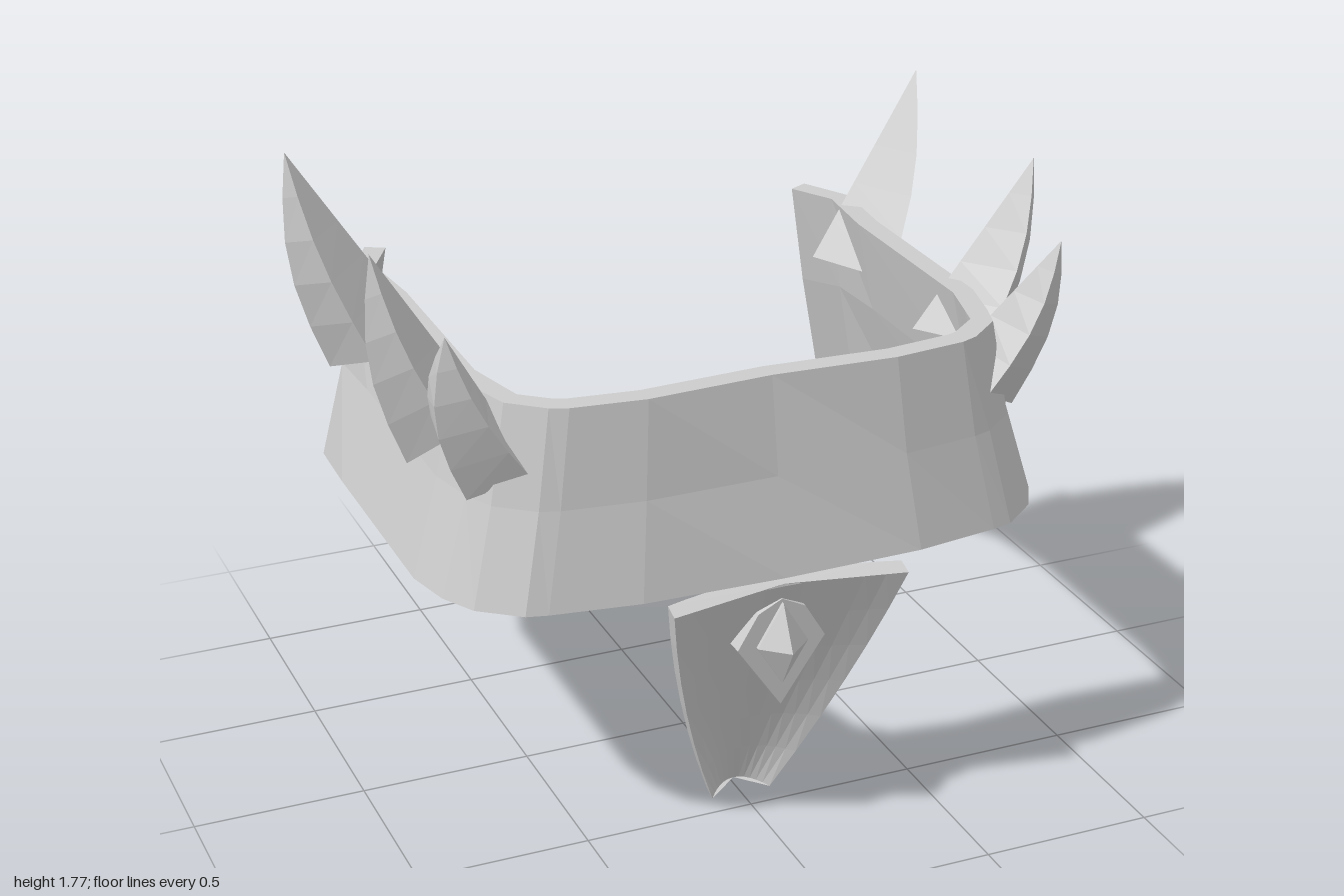
import * as THREE from 'three';

// Flat-shaded closed solid skinned over a list of equal-length point rings.
function loft(rings) {
  const n = rings[0].length, tris = [];
  for (let i = 0; i < rings.length - 1; i++) {
    for (let j = 0; j < n; j++) {
      const k = (j + 1) % n;
      const a = rings[i][j], b = rings[i][k], c = rings[i + 1][k], d = rings[i + 1][j];
      tris.push([a, b, c], [a, c, d]);
    }
  }
  for (const end of [0, rings.length - 1]) {
    const r = rings[end];
    const mid = [0, 1, 2].map((q) => r.reduce((s, p) => s + p[q], 0) / n);
    for (let j = 0; j < n; j++) {
      const k = (j + 1) % n;
      tris.push(end ? [mid, r[j], r[k]] : [mid, r[k], r[j]]);
    }
  }
  // Turn all faces outward using the signed volume
  const [A, B, C] = [0, 0, 0].map(() => new THREE.Vector3());
  let volume = 0;
  for (const [a, b, c] of tris) volume += A.fromArray(a).dot(B.fromArray(b).cross(C.fromArray(c)));
  const out = volume < 0 ? tris.map(([a, b, c]) => [a, c, b]) : tris;
  const g = new THREE.BufferGeometry();
  g.setAttribute('position', new THREE.Float32BufferAttribute(out.flat(2), 3));
  g.computeVertexNormals();
  return g;
}

const mix = (a, b, t) => a + (b - a) * t;

// U-shaped band, flaring from its top edge to its bottom edge
function bandGeometry() {
  // outer [top x, top z, bottom x, bottom z, bottom y], from front centre to back end
  const half = [
    [0, 0.605, 0, 0.715, 0.84], [0.36, 0.625, 0.41, 0.705, 0.84],
    [0.57, 0.6, 0.66, 0.66, 0.835], [0.62, 0.58, 0.72, 0.645, 0.835],
    [0.715, 0.5, 0.83, 0.55, 0.83], [0.74, 0.42, 0.885, 0.45, 0.83],
    [0.775, 0.27, 0.915, 0.3, 0.825], [0.77, -0.33, 0.915, -0.36, 0.825],
    [0.79, -0.57, 0.895, -0.62, 0.8], [0.71, -0.72, 0.83, -0.765, 0.78],
  ];
  const left = half.slice(1).reverse().map(([a, b, c, d, e]) => [-a, b, -c, d, e]);
  const path = [...left, ...half];
  const plan = (s, t) => {
    const pinch = 1 - 0.012 * Math.sin(Math.PI * t);
    return [mix(s[0], s[2], t) * pinch, mix(s[1], s[3], t) * pinch];
  };
  return loft(path.map((s, i) => {
    const prev = path[Math.max(i - 1, 0)], next = path[Math.min(i + 1, path.length - 1)];
    const outer = [], inner = [];
    for (const t of [0, 0.5, 1]) {
      const [x, z] = plan(s, t), p = plan(prev, t), q = plan(next, t);
      const dx = q[0] - p[0], dz = q[1] - p[1], len = Math.hypot(dx, dz);
      const y = mix(1.39, s[4], t);
      outer.push([x, y, z]);
      inner.unshift([x + (dz / len) * 0.063, y - 0.01 * t, z - (dx / len) * 0.063]);
    }
    return [...outer, ...inner];
  }));
}

// Curved four-sided horn: base corners are outer, front, inner, back
function hornGeometry({ tip, base }, side) {
  const bulge = [[0.055, 0], [0.03, 0.02], [0.0, 0], [0.03, -0.02]];
  return loft([0, 0.2, 0.4, 0.6, 0.8, 1].map((t) => base.map((b, j) => {
    const w = Math.sin(Math.PI * t);
    return [
      side * (mix(b[0], tip[0], t) + bulge[j][0] * w),
      mix(b[1], tip[1], t),
      mix(b[2], tip[2], t) + bulge[j][1] * w,
    ];
  })));
}

// Tapered hanging flap, hollow toward the front
function flapGeometry() {
  const widths = [0.345, 0.315, 0.28, 0.24, 0.195, 0.145, 0.09];
  const cols = 12, rings = [];
  widths.forEach((w, i) => {
    const v = i / (widths.length - 1), front = [], back = [];
    for (let j = 0; j <= cols; j++) {
      const u = (j / cols) * 2 - 1, dip = 1 - u * u;
      const y = mix(0.81, 0.01 + 0.02 * dip, v), z = mix(0.76, 0.43, v) - 0.055 * dip;
      front.push([u * w, y, z]);
      back.unshift([u * w, y + 0.015, z - 0.045]);
    }
    rings.push([...front, ...back]);
  });
  return loft(rings);
}

export function createModel() {
  const model = new THREE.Group();
  model.name = 'hornedBelt';
  const grey = new THREE.MeshStandardMaterial({ color: 0xcccccc });
  grey.name = 'grey';
  const add = (name, geometry) => {
    const mesh = new THREE.Mesh(geometry, grey);
    mesh.name = name;
    model.add(mesh);
  };

  add('band', bandGeometry());

  // Three horns on each side, pushed through the band
  const horns = {
    FrontHorn: {
      tip: [0.885, 1.62, 0.555],
      base: [[0.81, 1.11, 0.46], [0.67, 1.2, 0.57], [0.645, 1.22, 0.36], [0.83, 1.23, 0.29]],
    },
    MiddleHorn: {
      tip: [0.975, 1.74, 0.225],
      base: [[0.88, 1.105, 0.17], [0.79, 1.24, 0.33], [0.655, 1.24, 0.14], [0.81, 1.22, -0.04]],
    },
    RearHorn: {
      tip: [0.985, 1.78, -0.525],
      base: [[0.88, 1.105, -0.55], [0.81, 1.2, -0.32], [0.635, 1.24, -0.49], [0.8, 1.2, -0.73]],
    },
  };
  for (const [name, horn] of Object.entries(horns)) {
    add('left' + name, hornGeometry(horn, 1));
    add('right' + name, hornGeometry(horn, -1));
  }

  add('flap', flapGeometry());

  // Ornament: faceted backing plate with a pointed stone on it
  const outline = [[0, 0.44], [0.13, 0.63], [0.07, 0.73], [0, 0.765], [-0.07, 0.73], [-0.13, 0.63]];
  add('ornamentPlate', loft([0.64, 0.69].map((z) => outline.map(([x, y]) => [x, y, z]))));
  const stone = [[0, 0.51], [0.075, 0.63], [0, 0.755], [-0.075, 0.63]];
  add('ornamentStone', loft([
    stone.map(([x, y]) => [x, y, 0.685]),
    stone.map(([x, y]) => [x, y, 0.7]),
    stone.map(() => [0, 0.63, 0.765]),
  ]));
  return model;
}
